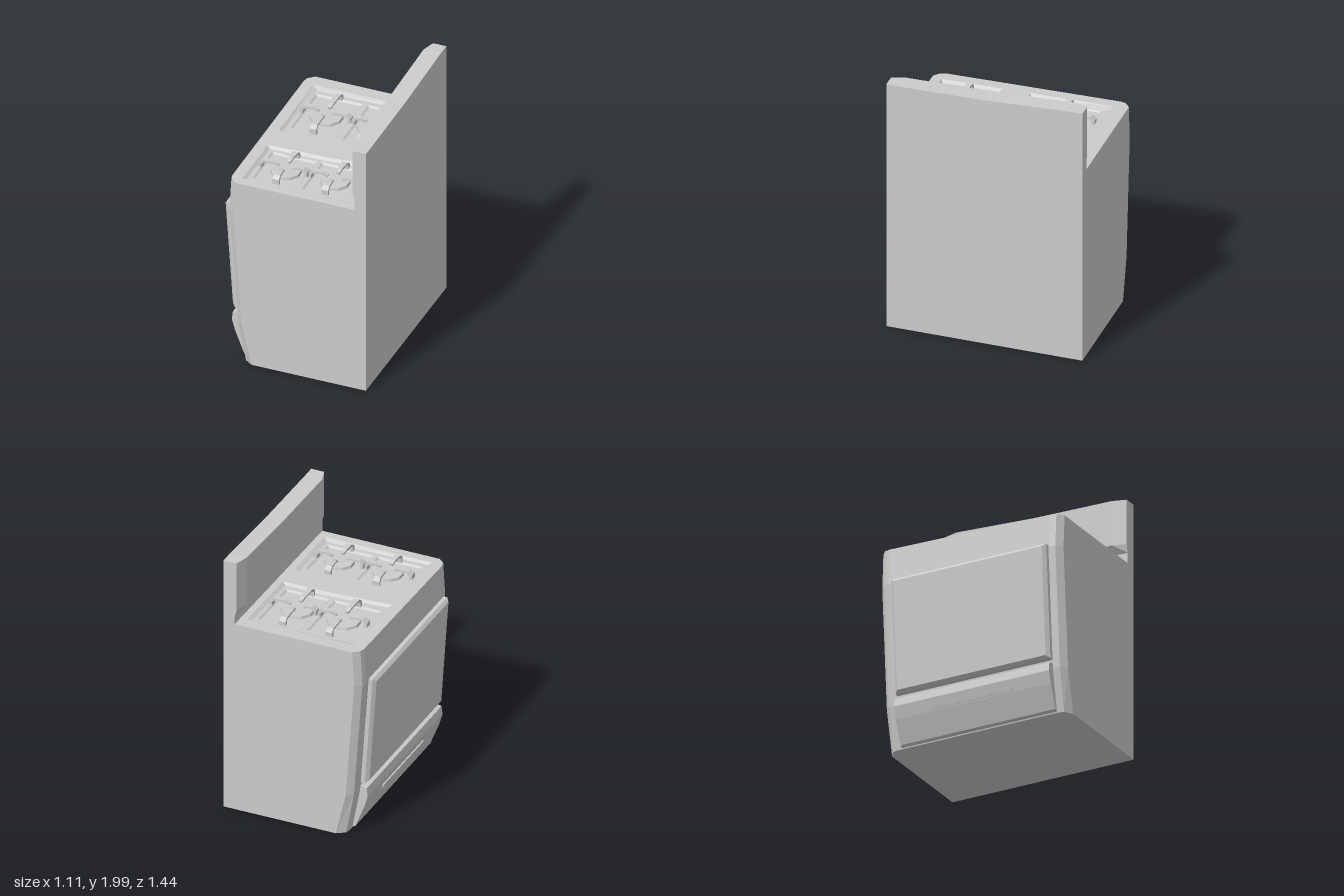
import * as THREE from 'three';

const material = new THREE.MeshStandardMaterial({ color: 0xcccccc, flatShading: true });
// the cooktop is slightly tilted along z
const topY = (z) => 1.4925 - 0.0174 * z;

function mesh(geometry, name, parent) {
  const m = new THREE.Mesh(geometry, material);
  m.name = name;
  parent.add(m);
  return m;
}

// skin over rings of [x, y, z]; rings run counter-clockwise seen from the end of travel
function loft(rings, startCap = true, endCap = true) {
  const p = [];
  const n = rings[0].length;
  for (let r = 0; r < rings.length - 1; r++) {
    const a = rings[r], b = rings[r + 1];
    for (let i = 0; i < n; i++) {
      const j = (i + 1) % n;
      p.push(...a[i], ...a[j], ...b[j], ...a[i], ...b[j], ...b[i]);
    }
  }
  const first = rings[0], last = rings[rings.length - 1];
  for (let i = 1; i < n - 1; i++) {
    if (startCap) p.push(...first[0], ...first[i + 1], ...first[i]);
    if (endCap) p.push(...last[0], ...last[i], ...last[i + 1]);
  }
  const g = new THREE.BufferGeometry();
  g.setAttribute('position', new THREE.Float32BufferAttribute(p, 3));
  g.computeVertexNormals();
  return g;
}

// ring of [x, z] points placed on the tilted cooktop at a height offset
const onTop = (pts, dy) => pts.map(([x, z]) => [x, topY(z) + dy, z]);

// flat sheet with holes lying on the tilted cooktop
function sheet(outer, holes, dy) {
  const vec = (pts) => pts.map(([x, z]) => new THREE.Vector2(x, -z));
  const shape = new THREE.Shape(vec(outer));
  holes.forEach((h) => shape.holes.push(new THREE.Path(vec(h))));
  const g = new THREE.ShapeGeometry(shape).rotateX(-Math.PI / 2);
  const pos = g.attributes.position;
  for (let i = 0; i < pos.count; i++) pos.setY(i, topY(pos.getZ(i)) + dy);
  g.computeVertexNormals();
  return g;
}

const rect = (x0, x1, z0, z1) => [[x1, z1], [x1, z0], [x0, z0], [x0, z1]];

// horizontal outline of the body with softened front corners
const bodyOutline = (xs, xf) => [
  [0.55, 0.72], [0.55, -0.72], [xs, -0.72], [xf + 0.01, -0.68], [xf, -0.64],
  [xf, 0.64], [xf + 0.01, 0.68], [xs, 0.72],
];

// pan support finger reaching from radius R towards the burner centre
function finger(R) {
  const t = 0.05;
  const path = [ // outer r, outer y, inner r, inner y, half width
    [R, -0.03, R - 0.02, -0.03, 0.025],
    [R, 0.018, R - 0.022, 0.01, 0.025],
    [R - 0.03, 0.04, R - 0.04, 0.024, 0.022],
    [t + 0.04, 0.038, t + 0.04, 0.024, 0.017],
    [t, 0.024, t + 0.005, 0.008, 0.011],
  ];
  return loft(path.map(([r, y, ri, yi, w]) => [[ri, yi, -w], [ri, yi, w], [r, y, w], [r, y, -w]]));
}

const WELL = -0.018, PAN = -0.03;

function addBurner(parent, cx, cz, [x0, x1, z0, z1], radius) {
  const burner = new THREE.Group();
  burner.name = 'burner';
  parent.add(burner);
  const inner = rect(x0 + 0.015, x1 - 0.015, z0 + 0.015, z1 - 0.015);
  mesh(loft([onTop(rect(x0, x1, z0, z1), WELL), onTop(inner, PAN)], false, true), 'burnerPan', burner);
  const cap = mesh(new THREE.CylinderGeometry(radius * 0.96, radius, 0.02, 10), 'burnerCap', burner);
  cap.position.set(cx, topY(cz) + PAN + 0.01, cz);
  const reach = [x1 - cx, cz - z0, cx - x0, z1 - cz];
  reach.forEach((r, k) => {
    const f = mesh(finger(r + 0.012), 'grateFinger', burner);
    f.position.set(cx, topY(cz), cz);
    f.rotation.y = k * Math.PI / 2;
  });
}

export function createModel() {
  const stove = new THREE.Group();
  stove.name = 'stove';

  // body
  const levels = [[0.01, -0.31, -0.38], [0.33, -0.385, -0.44], [1.23, -0.45, -0.505]];
  const topOutline = bodyOutline(-0.435, -0.49);
  const rings = levels.map(([y, xs, xf]) => bodyOutline(xs, xf).map(([x, z]) => [x, y, z]));
  rings.push(onTop(topOutline, 0));
  mesh(loft(rings, true, false), 'body', stove);

  // cooktop with two sunken wells, each holding two burners
  const wells = [
    {
      outer: [[0.415, -0.035], [0.415, -0.62], [-0.41, -0.62], [-0.41, 0], [0.1, -0.035]],
      inner: [[0.388, -0.05], [0.388, -0.6], [-0.365, -0.585], [-0.388, -0.022], [0.1, -0.06]],
      burners: [[-0.183, -0.315, [-0.36, -0.005, -0.55, -0.085], 0.122],
        [0.172, -0.315, [0.03, 0.365, -0.555, -0.09], 0.122]],
    },
    {
      outer: [[0.415, 0.65], [0.415, 0.147], [0.02, 0.185], [-0.41, 0.195], [-0.41, 0.65]],
      inner: [[0.383, 0.622], [0.383, 0.17], [0.02, 0.205], [-0.388, 0.212], [-0.388, 0.635]],
      burners: [[-0.178, 0.42, [-0.36, -0.02, 0.235, 0.595], 0.112],
        [0.19, 0.415, [0.01, 0.36, 0.225, 0.59], 0.108]],
    },
  ];
  mesh(sheet(topOutline, wells.map((w) => w.outer), 0), 'cooktop', stove);
  wells.forEach((w) => {
    mesh(loft([onTop(w.outer, 0), onTop(w.inner, WELL)], false, false), 'wellRim', stove);
    mesh(sheet(w.inner, w.burners.map((b) => rect(...b[2])), WELL), 'wellFloor', stove);
    w.burners.forEach((b) => addBurner(stove, ...b));
  });

  // backsplash with a sloping top edge and softened ends
  const slices = [[-0.72, 2, 0.03], [-0.62, 2, 0], [0, 1.97, 0], [0.62, 1.96, 0], [0.72, 1.96, 0.03]];
  mesh(loft(slices.map(([z, y, dx]) => [
    [0.55, 1.47, z], [0.55, y, z], [0.42 + dx, y, z],
    [0.42 + dx, 1.62, z], [0.465, 1.56, z], [0.465, 1.47, z],
  ])), 'backsplash', stove);

  // oven door, bevelled towards its face
  const doorRing = (xb, yb, xt, yt, z0, z1) => [[xb, yb, z0], [xb, yb, z1], [xt, yt, z1], [xt, yt, z0]];
  mesh(loft([
    doorRing(-0.43, 0.39, -0.49, 1.24, -0.6, 0.63),
    doorRing(-0.475, 0.39, -0.535, 1.245, -0.6, 0.63),
    doorRing(-0.5, 0.41, -0.555, 1.222, -0.575, 0.605),
  ]), 'ovenDoor', stove);

  // storage drawer
  const drawerProfile = [[-0.37, 0.36], [-0.44, 0.365], [-0.49, 0.352], [-0.498, 0.29],
    [-0.472, 0.2], [-0.405, 0.03], [-0.365, 0.01]];
  mesh(loft([-0.6, 0.63].map((z) => drawerProfile.map(([x, y]) => [x, y, z]))), 'drawer', stove);

  // finger grip across the drawer
  const grip = mesh(new THREE.BoxGeometry(0.025, 0.022, 0.66), 'drawerGrip', stove);
  grip.position.set(-0.475, 0.222, 0.01);
  grip.rotation.z = 0.3;

  return stove;
}
